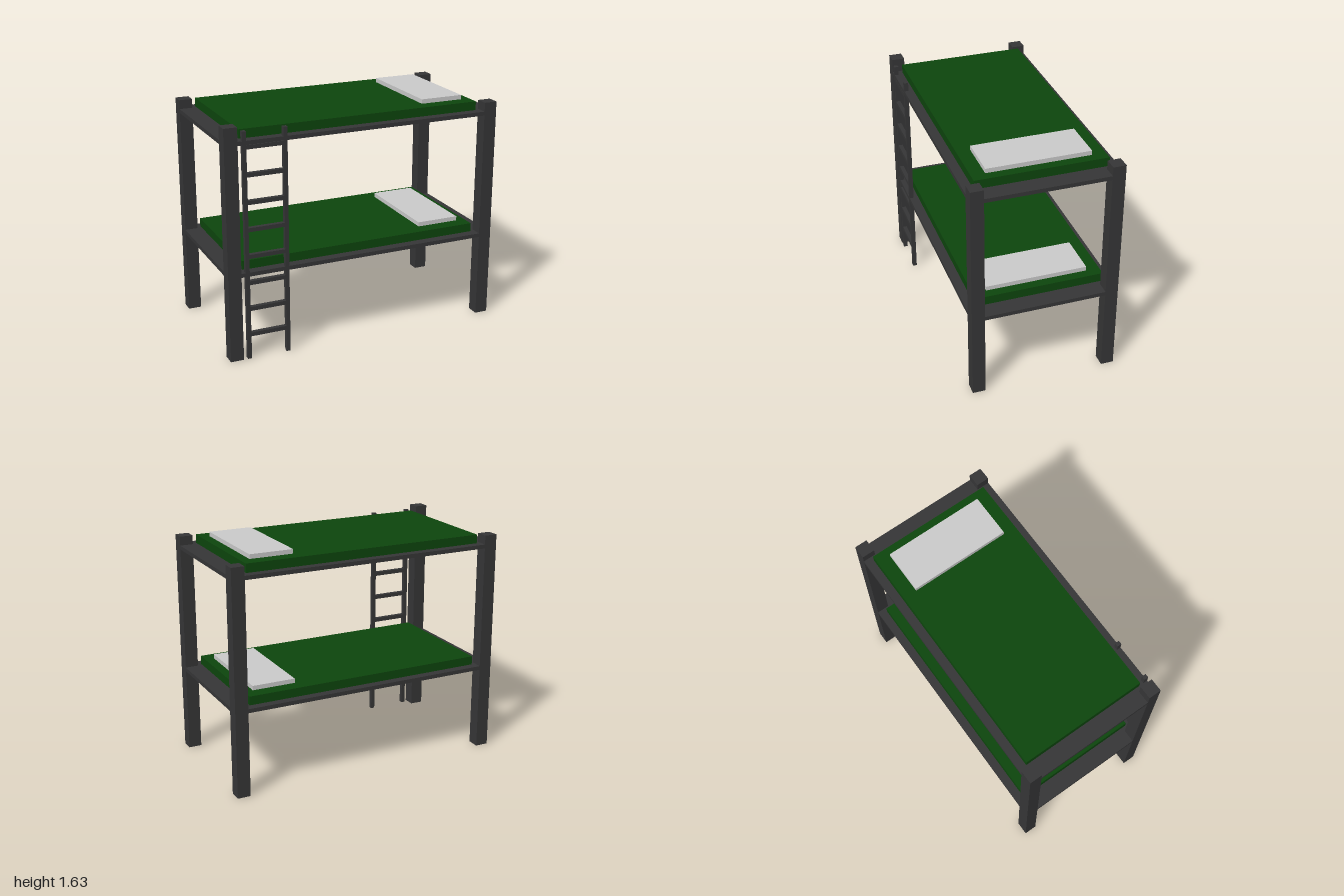
import * as THREE from 'three';

const mat = (name, color) => {
  const m = new THREE.MeshStandardMaterial({ color });
  m.name = name;
  return m;
};

export function createModel() {
  const frame = mat('charcoalFrame', 0x363637);
  const green = mat('greenMattress', 0x0d460d);
  const white = mat('paleGreyPillow', 0xcbcbcb);
  const bed = new THREE.Group();
  bed.name = 'bunkBed';

  // Box given by its limits on each axis
  const box = (parent, name, material, [x0, x1], [y0, y1], [z0, z1]) => {
    const mesh = new THREE.Mesh(new THREE.BoxGeometry(x1 - x0, y1 - y0, z1 - z0), material);
    mesh.position.set((x0 + x1) / 2, (y0 + y1) / 2, (z0 + z1) / 2);
    mesh.name = name;
    parent.add(mesh);
  };

  // Corner posts; the one beside the ladder is a little taller
  const X = 1, Z = 0.515, postX = 0.907, postZ = 0.425;
  for (const sx of [-1, 1]) {
    for (const sz of [-1, 1]) {
      const top = sx < 0 && sz > 0 ? 1.627 : 1.595;
      const xs = sx < 0 ? [-X, -postX] : [postX, X];
      const zs = sz < 0 ? [-Z, -postZ] : [postZ, Z];
      box(bed, 'post', frame, xs, [0, top], zs);
    }
  }

  // Deck outline, notched at the corners to fit around the posts
  const outline = new THREE.Shape([
    [-postX, -Z], [postX, -Z], [postX, -postZ], [X, -postZ], [X, postZ], [postX, postZ],
    [postX, Z], [-postX, Z], [-postX, postZ], [-X, postZ], [-X, -postZ], [-postX, -postZ],
  ].map(([x, y]) => new THREE.Vector2(x, y)));
  const deckGeometry = new THREE.ExtrudeGeometry(outline, { depth: 0.028, bevelEnabled: false });
  deckGeometry.rotateX(-Math.PI / 2);

  // Two bunks: deck, mattress and pillow
  for (const [name, y] of [['lowerBunk', 0.6], ['upperBunk', 1.504]]) {
    const bunk = new THREE.Group();
    bunk.name = name;
    bunk.position.y = y;
    const deck = new THREE.Mesh(deckGeometry, frame);
    deck.name = 'deck';
    bunk.add(deck);
    box(bunk, 'mattress', green, [-0.877, 0.873], [0.028, 0.09], [-0.456, 0.45]);
    box(bunk, 'pillow', white, [0.498, 0.808], [0.09, 0.121], [-0.36, 0.355]);
    bed.add(bunk);
  }

  // Ladder flush with the front
  const ladder = new THREE.Group();
  ladder.name = 'ladder';
  for (const x of [-0.877, -0.595]) {
    box(ladder, 'ladderRail', frame, [x, x + 0.028], [0, 1.595], [0.485, Z]);
  }
  for (let i = 0; i < 8; i++) {
    const y = 0.163 + i * 0.1873;
    box(ladder, 'rung', frame, [-0.849, -0.595], [y, y + 0.028], [0.485, Z]);
  }
  bed.add(ladder);
  return bed;
}
